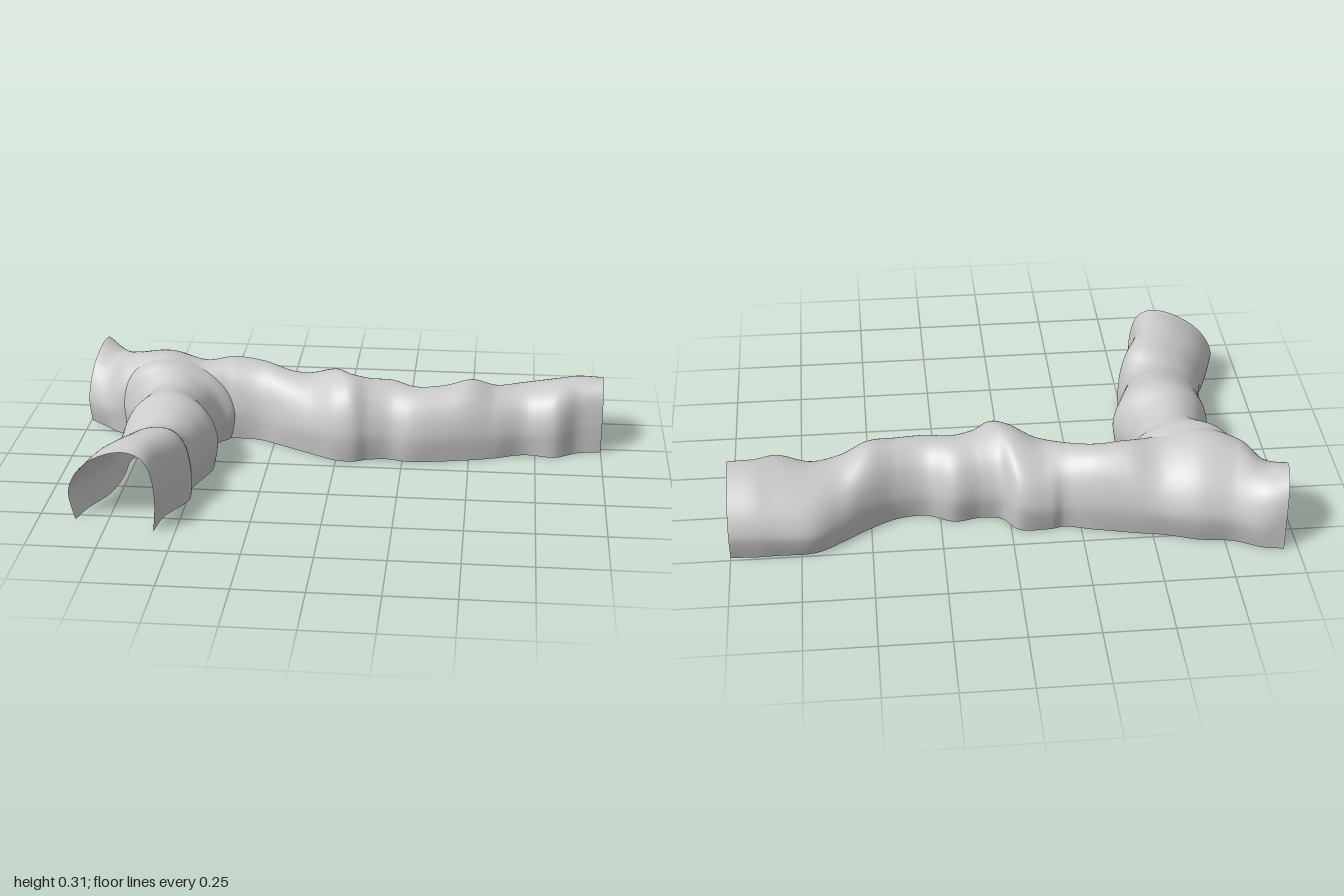
import * as THREE from 'three';

// Arch profile as [half width, height] fractions, from one foot to the crown
const ARCH = [[0.92, 0], [0.98, 0.2], [1, 0.38], [0.91, 0.6], [0.74, 0.78], [0.52, 0.9], [0.27, 0.975], [0, 1]];
const SIDES = 48;

const archCurve = new THREE.CatmullRomCurve3(
  [...ARCH.map(([w, h]) => [-w, h]), ...ARCH.slice(0, -1).reverse()].map(([w, h]) => new THREE.Vector3(w, h, 0)));
const profile = Array.from({ length: SIDES + 1 }, (_, j) => archCurve.getPoint(j / SIDES));

// Half width of the arch at a fraction of its height
function widthAt(t) {
  for (let k = 1; k < ARCH.length; k++) {
    const [w0, h0] = ARCH[k - 1], [w1, h1] = ARCH[k];
    if (t <= h1) return w0 + (w1 - w0) * (t - h0) / (h1 - h0);
  }
  return 0;
}

// Slides the crown sideways while the walls stay put
const shift = (u, skew) => u + skew * (1 - u * u);

// Smooth rows between sections [x, z of one wall, x, z of the other wall, roof height, sideways shift of the crown]
function makeRows(sections, count) {
  const curve = pick => new THREE.CatmullRomCurve3(sections.map(s => new THREE.Vector3(...pick(s))));
  const a = curve(s => [s[0], s[4], s[1]]);
  const b = curve(s => [s[2], s[5] ?? 0, s[3]]);
  return Array.from({ length: count + 1 }, (_, i) => {
    const p = a.getPoint(i / count), q = b.getPoint(i / count);
    return {
      x: (p.x + q.x) / 2, z: (p.z + q.z) / 2, h: p.y, skew: q.y,
      dx: (q.x - p.x) / 2, dz: (q.z - p.z) / 2,
    };
  });
}

// True where a point lies within the passage described by the rows
function isInside(rows, p) {
  let best = Infinity, u = 9, row = rows[0];
  for (const r of rows) {
    const half = Math.hypot(r.dx, r.dz);
    const px = p.x - r.x, pz = p.z - r.z;
    const across = (px * r.dx + pz * r.dz) / half;
    const along = Math.abs(px * r.dz - pz * r.dx) / half;
    if (along < best) { best = along; u = across / half; row = r; }
  }
  if (best > 0.02 || p.y >= row.h) return false;
  const w = widthAt(p.y / row.h);
  return u > shift(-w, row.skew) && u < shift(w, row.skew);
}

// Open-bottomed rock shell, left out where it would cross the other passage
function tunnel(name, rows, otherRows) {
  const pos = [], index = [], hidden = [];
  for (const r of rows) {
    for (const c of profile) {
      // gentle dents along the walls
      const dent = 1 + 0.02 * Math.sin((r.x + r.z) * 15 + c.x * 4) * Math.sin(c.y * 5 - r.x * 7) * (1 - c.y);
      const w = shift(c.x, r.skew) * dent;
      const p = new THREE.Vector3(r.x + r.dx * w, 0.008 + (r.h - 0.008) * c.y, r.z + r.dz * w);
      pos.push(p.x, p.y, p.z);
      hidden.push(isInside(otherRows, p));
    }
  }
  const n = SIDES + 1;
  for (let i = 0; i < rows.length - 1; i++) {
    for (let j = 0; j < SIDES; j++) {
      const a = i * n + j, b = a + 1, c = a + n, d = c + 1;
      if (hidden[a] && hidden[b] && hidden[c] && hidden[d]) continue;
      index.push(a, b, c, b, d, c);
    }
  }
  const geo = new THREE.BufferGeometry();
  geo.setAttribute('position', new THREE.Float32BufferAttribute(pos, 3));
  geo.setIndex(index);
  geo.computeVertexNormals();
  const mesh = new THREE.Mesh(geo, new THREE.MeshStandardMaterial({ color: 0xcccccc, side: THREE.DoubleSide }));
  mesh.name = name;
  return mesh;
}

export function createModel() {
  // Main passage: back wall, front wall, roof height, crown shift
  const mainRows = makeRows([
    [-0.95, -0.61, -1, -0.33, 0.288, -0.45],
    [-0.87, -0.6, -0.93, -0.275, 0.255, -0.2],
    [-0.77, -0.565, -0.84, -0.22, 0.29, 0.2],
    [-0.65, -0.55, -0.7, -0.2, 0.318, 0.35],
    [-0.53, -0.51, -0.54, -0.2, 0.288, 0.3],
    [-0.42, -0.48, -0.42, -0.215, 0.3, 0.1],
    [-0.3, -0.45, -0.3, -0.205, 0.288],
    [-0.19, -0.42, -0.2, -0.15, 0.268],
    [-0.14, -0.435, -0.1, -0.09, 0.265],
    [-0.03, -0.435, 0, -0.04, 0.3, 0.1],
    [0.03, -0.36, 0.06, -0.035, 0.3, 0.1],
    [0.1, -0.345, 0.13, -0.06, 0.28],
    [0.2, -0.36, 0.2, -0.07, 0.27],
    [0.3, -0.31, 0.28, -0.055, 0.26],
    [0.4, -0.32, 0.4, -0.07, 0.265],
    [0.5, -0.37, 0.5, -0.09, 0.278],
    [0.6, -0.44, 0.6, -0.12, 0.24, 0.1],
    [0.7, -0.5, 0.71, -0.16, 0.24, 0.2],
    [0.83, -0.51, 0.82, -0.145, 0.265, 0.25],
    [0.9, -0.51, 0.91, -0.2, 0.275, 0.35],
    [1, -0.505, 1, -0.22, 0.275, 0.45],
  ], 320);

  // Side passage: outer wall, inner wall, roof height, crown shift
  const sideRows = makeRows([
    [-0.89, 0.53, -0.57, 0.607, 0.293, 0.38],
    [-0.86, 0.44, -0.555, 0.49, 0.298, 0.35],
    [-0.81, 0.33, -0.49, 0.345, 0.285, 0.3],
    [-0.79, 0.24, -0.495, 0.25, 0.258, 0.2],
    [-0.785, 0.14, -0.455, 0.14, 0.28, 0.1],
    [-0.785, 0.04, -0.43, 0.05, 0.298],
    [-0.765, -0.05, -0.47, -0.04, 0.285],
    [-0.765, -0.12, -0.465, -0.12, 0.28],
    [-0.8, -0.18, -0.445, -0.18, 0.295, -0.1],
    [-0.845, -0.235, -0.4, -0.225, 0.31, -0.2],
    [-0.85, -0.31, -0.39, -0.3, 0.305, -0.2],
    [-0.83, -0.42, -0.4, -0.4, 0.265, -0.1],
  ], 200);

  const group = new THREE.Group();
  group.name = 'caveTunnel';
  group.add(tunnel('mainPassage', mainRows, sideRows), tunnel('sidePassage', sideRows, mainRows));
  return group;
}
